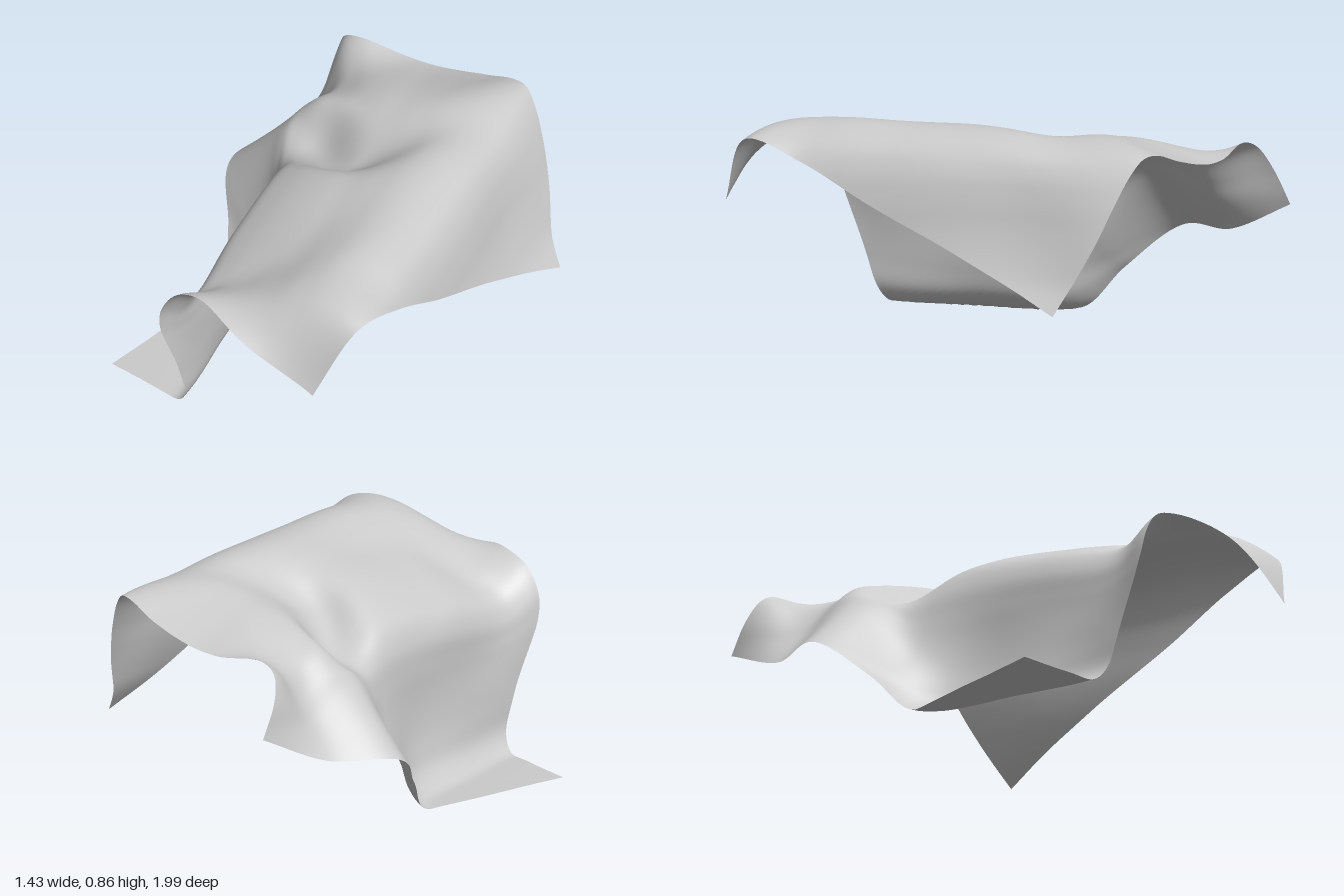
import * as THREE from 'three';

// Main fold as [x, y], one point per 0.1 of cloth: floor, wall, top, hanging side
const FOLD = [
  [-.72, 0], [-.62, 0], [-.53, 0], [-.43, 0], [-.365, .06], [-.345, .155], [-.335, .255], [-.33, .355], [-.33, .455],
  [-.325, .555], [-.285, .645], [-.20, .705], [-.11, .75], [-.015, .785], [.08, .81], [.175, .835], [.275, .852],
  [.375, .843], [.47, .802], [.522, .73], [.55, .64], [.57, .54], [.598, .445], [.64, .35], [.71, .25],
];

// Where the sheet leaves the main fold: 7 x 7 points, front edge first.
// null means the point stays on the fold.
const PULLED = [
  [[-.72, 0, .48], [-.43, 0, .58], [-.36, .22, .68], [-.39, .49, .79], [-.24, .70, .83], [.02, .65, .96], [.32, .51, .99]],
  [[-.63, 0, .20], null, null, [-.325, .525, .63], [-.14, .66, .65], [.13, .785, .76], [.46, .78, .87]],
  [[-.53, 0, -.11], null, null, [-.24, .655, .35], [.01, .755, .45], null, [.515, .72, .62]],
  [[-.575, .16, -.28], [-.39, .31, -.19], null, null, null, null, [.555, .59, .35]],
  [[-.65, .32, -.48], [-.42, .56, -.42], [-.24, .59, -.33], [-.02, .685, -.16], null, null, [.59, .475, .08]],
  [[-.50, .355, -.73], [-.34, .58, -.68], [-.13, .75, -.54], [.11, .82, -.45], null, null, [.635, .36, -.18]],
  [[-.39, .49, -1], [-.32, .73, -.865], [-.05, .715, -.84], [.25, .77, -.79], [.48, .80, -.70], [.61, .50, -.57], [.71, .245, -.44]],
];

const SEG = 96;

// Smooth curve through evenly spaced points, sampled at t in 0..1
function sample(points, t) {
  const n = points.length - 1;
  const i = Math.min(Math.floor(t * n), n - 1);
  const f = t * n - i;
  const before = i > 0 ? points[i - 1] : points[0].map((c, k) => 2 * c - points[1][k]);
  const after = i < n - 1 ? points[i + 2] : points[n].map((c, k) => 2 * c - points[n - 1][k]);
  return points[i].map((b, k) => {
    const a = before[k], c = points[i + 1][k], d = after[k];
    return b + 0.5 * f * (c - a + f * (2 * a - 5 * b + 4 * c - d + f * (3 * (b - c) + d - a)));
  });
}

// The sheet lies turned about 26 degrees across the main fold
function onFold(u, v) {
  const across = 1.62 * u + 0.79 * v;
  const along = 0.79 * u - 1.62 * v;
  const [x, y] = sample(FOLD, Math.min(across / 2.41, 1));
  return [x, y, 0.48 + along - 0.045 * across];
}

function createSheet() {
  const offsets = PULLED.map((row, j) => row.map((point, i) =>
    onFold(i / 6, j / 6).map((c, k) => (point ? point[k] - c : 0))));
  const positions = [], index = [];
  for (let j = 0; j <= SEG; j++) {
    for (let i = 0; i <= SEG; i++) {
      const u = i / SEG, v = j / SEG;
      const offset = sample(offsets.map((row) => sample(row, u)), v);
      const [x, y, z] = onFold(u, v).map((c, k) => c + offset[k]);
      // Raised pinch in the cloth at the back corner
      const pinch = 0.05 * Math.exp(-(((u * 6 - 1.9) / 0.8) ** 2) - ((v * 6 - 4.5) / 0.3) ** 2);
      positions.push(x, Math.max(0, y + pinch), z);
      if (i < SEG && j < SEG) {
        const a = j * (SEG + 1) + i, b = a + SEG + 1;
        index.push(a, a + 1, b + 1, a, b + 1, b);
      }
    }
  }
  const geometry = new THREE.BufferGeometry();
  geometry.setAttribute('position', new THREE.Float32BufferAttribute(positions, 3));
  geometry.setIndex(index);
  geometry.computeVertexNormals();
  return geometry;
}

export function createModel() {
  const group = new THREE.Group();
  group.name = 'drapedCloth';
  const cloth = new THREE.Mesh(
    createSheet(),
    new THREE.MeshStandardMaterial({ color: 0xcccccc, side: THREE.DoubleSide })
  );
  cloth.name = 'clothSheet';
  group.add(cloth);
  return group;
}
